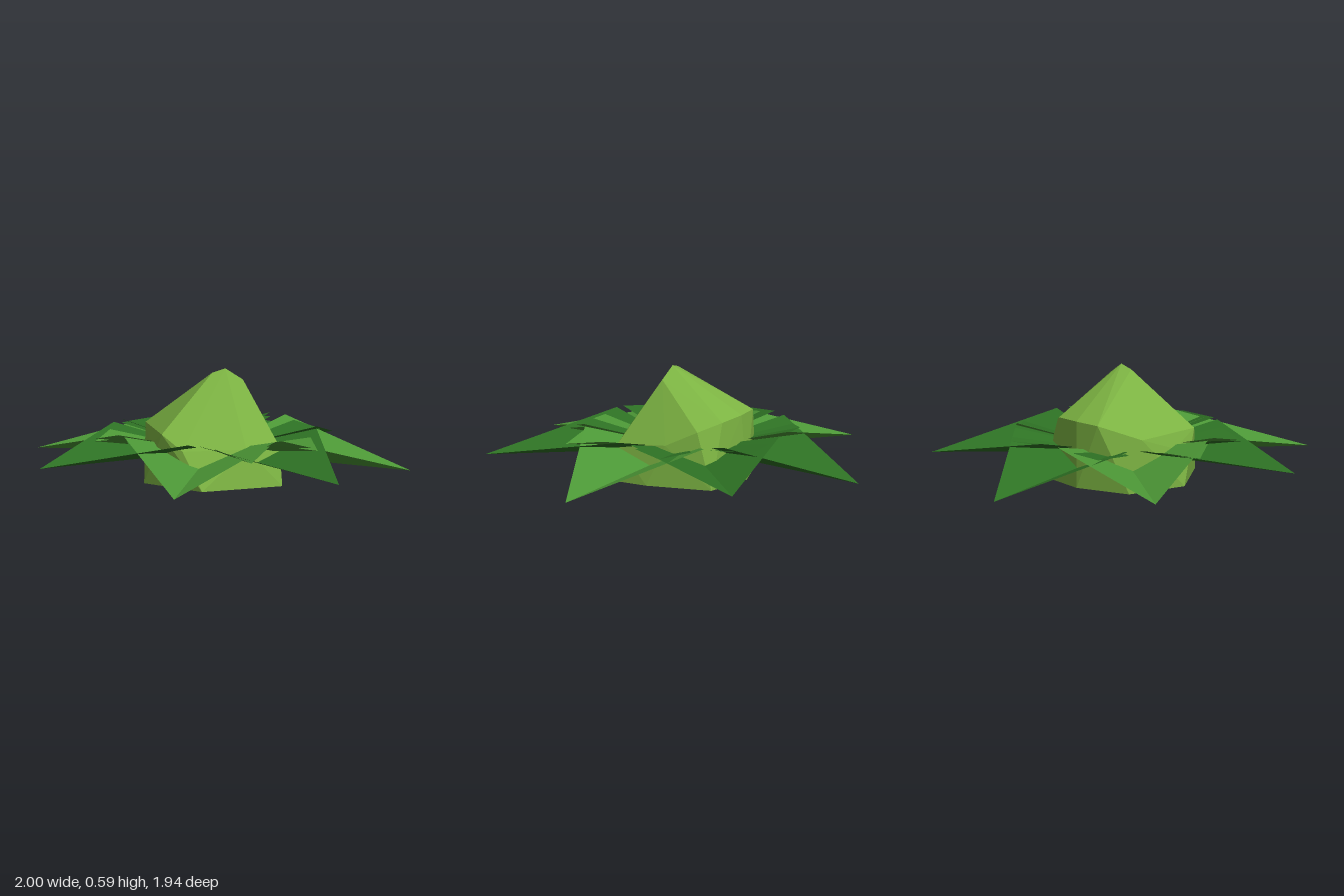
import * as THREE from 'three';
import { ConvexGeometry } from 'three/addons/geometries/ConvexGeometry.js';

const material = (name, color, options = {}) => {
  const m = new THREE.MeshStandardMaterial({ color, ...options });
  m.name = name;
  return m;
};

// Kite-shaped leaf folded along its midrib; the tip is given as x, y, z.
function leafGeometry([x, y, z], baseY, along, side, shoulderY) {
  const length = Math.hypot(x, z);
  const dx = x / length, dz = z / length;
  const shoulder = (s) => [dx * along + dz * s, shoulderY, dz * along - dx * s];
  const base = [0, baseY, 0], tip = [x, y, z];
  const corners = [base, shoulder(side), tip, base, tip, shoulder(-side)];
  // Wind both halves so that they face upward.
  const order = [0, 2, 1, 3, 5, 4];
  const geometry = new THREE.BufferGeometry();
  geometry.setAttribute('position',
    new THREE.Float32BufferAttribute(order.flatMap((i) => corners[i]), 3));
  const p = geometry.attributes.position;
  const a = new THREE.Vector3().fromBufferAttribute(p, 0);
  const b = new THREE.Vector3().fromBufferAttribute(p, 1);
  const c = new THREE.Vector3().fromBufferAttribute(p, 2);
  if (b.sub(a).cross(c.sub(a)).y < 0) {
    geometry.setIndex([0, 2, 1, 3, 5, 4]);
  }
  geometry.computeVertexNormals();
  return geometry;
}

export function createModel() {
  const model = new THREE.Group();
  model.name = 'plant';
  const budGreen = material('bud green', 0x7cb342, { flatShading: true });
  const leafOptions = { side: THREE.DoubleSide, flatShading: true };
  const darkGreen = material('dark leaf green', 0x2e7224, leafOptions);
  const lightGreen = material('light leaf green', 0x4c9736, leafOptions);

  // Faceted central bud
  const budPoints = [
    // foot
    [-0.16, 0, 0.41], [0.29, 0, 0.34], [0.33, 0, 0.1], [0.3, 0, -0.26],
    [0, 0, -0.33], [-0.3, 0, -0.25], [-0.39, 0, 0.08],
    // waist
    [-0.33, 0.28, 0.22], [-0.24, 0.2, 0.31], [0.1, 0.2, 0.33], [0.29, 0.2, 0.28],
    [0.31, 0.22, 0], [0.28, 0.3, -0.17], [0.18, 0.34, -0.27],
    [0.02, 0.35, -0.31], [-0.13, 0.35, -0.31], [-0.32, 0.28, -0.17], [-0.35, 0.2, 0.05],
    // crown
    [0.05, 0.59, 0.07], [0.14, 0.53, 0.09], [-0.02, 0.57, 0.07],
  ].map((p) => new THREE.Vector3(...p));
  const bud = new THREE.Mesh(new ConvexGeometry(budPoints), budGreen);
  bud.name = 'bud';
  model.add(bud);

  const addLeaves = (name, tips, ...shape) => {
    const group = new THREE.Group();
    group.name = name;
    tips.forEach(([tip, mat], i) => {
      const leaf = new THREE.Mesh(leafGeometry(tip, ...shape), mat);
      leaf.name = `${name} ${i + 1}`;
      group.add(leaf);
    });
    model.add(group);
  };

  // Large outer leaves
  addLeaves('outer leaf', [
    [[0, 0.04, -0.97], darkGreen],
    [[-0.8, 0.09, -0.59], lightGreen],
    [[-1, 0.135, 0.27], darkGreen],
    [[-0.45, 0.07, 0.97], lightGreen],
    [[0.44, 0.11, 0.97], darkGreen],
    [[1, 0.04, 0.27], lightGreen],
    [[0.79, 0.11, -0.59], darkGreen],
  ], 0.14, 0.37, 0.4, 0.265);

  // Small inner leaves between them
  addLeaves('inner leaf', [
    [[0.31, 0.23, -0.5], darkGreen],
    [[-0.31, 0.23, -0.5], darkGreen],
    [[-0.62, 0.21, -0.05], lightGreen],
    [[-0.52, 0.21, 0.38], darkGreen],
    [[0.04, 0.19, 0.68], lightGreen],
    [[0.44, 0.21, 0.51], lightGreen],
    [[0.6, 0.22, -0.09], darkGreen],
  ], 0.14, 0.52, 0.15, 0.245);

  return model;
}
